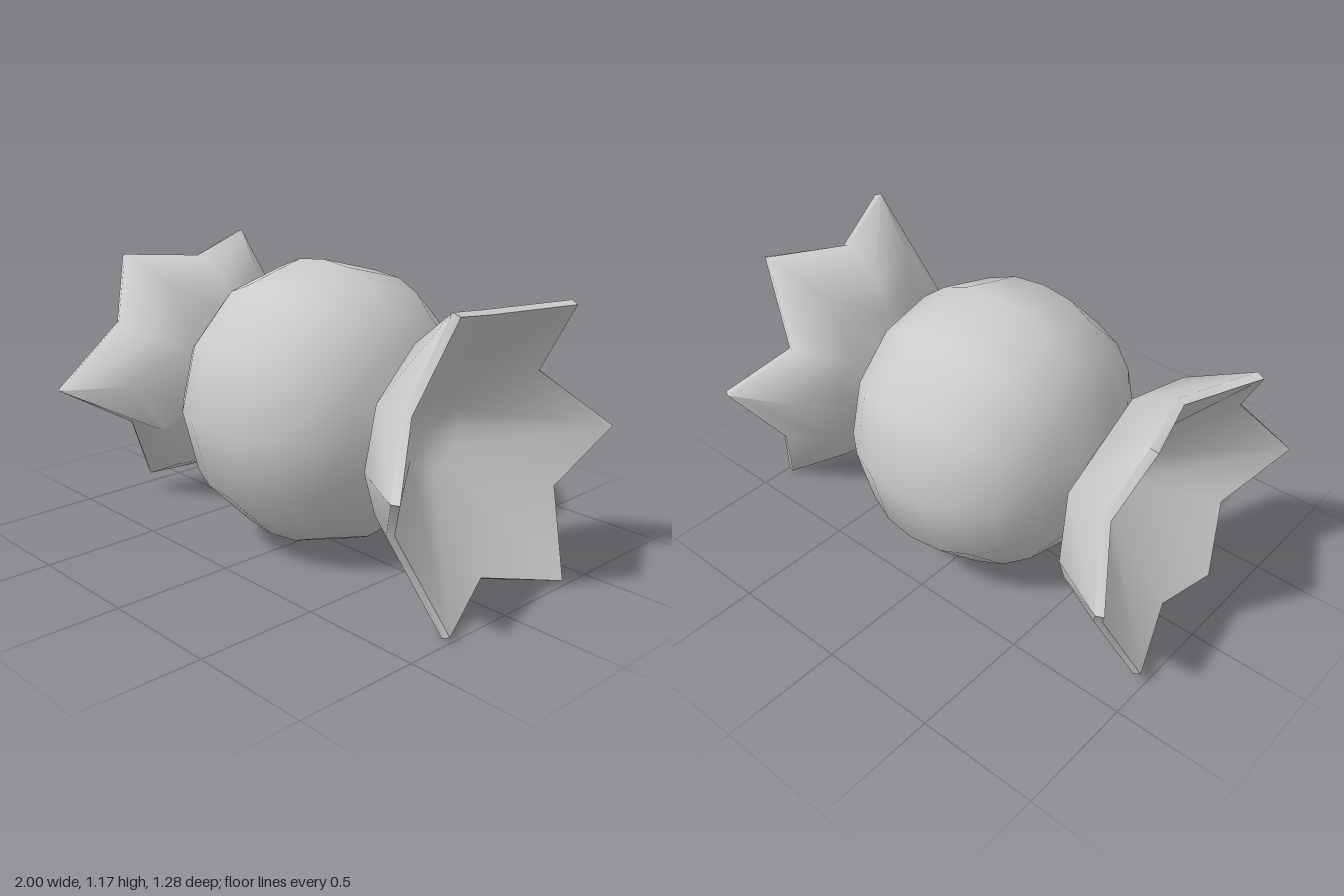
import * as THREE from 'three';
import { toCreasedNormals } from 'three/addons/utils/BufferGeometryUtils.js';

const CY = 0.59, CZ = -0.033, SIDES = 12;
const material = new THREE.MeshStandardMaterial({ color: 0xcccccc });

function addMesh(group, name, geometry, crease) {
  const mesh = new THREE.Mesh(toCreasedNormals(geometry, crease), material);
  mesh.name = name;
  group.add(mesh);
}

// Round sweet with tapered ends and a thin twisted neck on each side
function bodyGeometry() {
  const half = [[0.586, 0], [0.572, 0.14], [0.523, 0.265], [0.44, 0.375], [0.305, 0.463], [0.105, 0.515], [0.105, 0.55]]
    .map(([r, x]) => new THREE.Vector2(r, x));
  const mirrored = half.slice(1).reverse().map(p => new THREE.Vector2(p.x, -p.y));
  return new THREE.LatheGeometry([...mirrored, ...half], SIDES)
    .rotateZ(-Math.PI / 2)
    .translate(0, CY, CZ);
}

// Flared wrapper end: domed outside, funnel-shaped inside, with a zigzag rim.
// Rim points are [|x|, y, z], alternating valley and tip, from the top towards +z.
function flareGeometry(rim, side) {
  // Ring given as [x, radius] at the valleys and at the tips
  const ring = (valley, tip = valley) => rim.map((_, k) => {
    const a = k * Math.PI * 2 / SIDES;
    const [x, r] = k % 2 ? tip : valley;
    return [x, CY + r * Math.cos(a), CZ + r * Math.sin(a)];
  });
  const innerRim = rim.map(([x, y, z]) => {
    const s = 1 - 0.014 / Math.hypot(y - CY, z - CZ);
    return [x + 0.03, CY + (y - CY) * s, CZ + (z - CZ) * s];
  });
  const rings = [
    ring([0.532, 0.105]),                   // neck
    ring([0.59, 0.262], [0.615, 0.3]),      // outer cone
    ring([0.65, 0.415], [0.71, 0.475]),     // outer shoulder
    rim,
    innerRim,
    ring([0.6, 0.14]),                      // foot of the funnel
    ring([0.55, 0]),
  ];
  const index = [];
  const tri = (a, b, c) => index.push(a, ...(side > 0 ? [b, c] : [c, b]));
  for (let i = 0; i < rings.length - 1; i++) {
    for (let k = 0; k < SIDES; k++) {
      const n = (k + 1) % SIDES;
      const a = i * SIDES + k, b = i * SIDES + n;
      // Split each quad towards the rim tip, so the bowl stays round
      if (i === rings.length - 2) tri(a, b, a + SIDES);
      else if ((k % 2 === 0) === (i < 3)) {
        tri(a, b, b + SIDES);
        tri(a, b + SIDES, a + SIDES);
      } else {
        tri(a, b, a + SIDES);
        tri(b, b + SIDES, a + SIDES);
      }
    }
  }
  const points = rings.flat().map(([x, y, z]) => new THREE.Vector3(x * side, y, z));
  const geometry = new THREE.BufferGeometry().setFromPoints(points);
  geometry.setIndex(index);
  geometry.computeVertexNormals();
  return geometry;
}

export function createModel() {
  const group = new THREE.Group();
  group.name = 'wrappedCandy';
  addMesh(group, 'candyBody', bodyGeometry(), 0.8);

  const leftRim = [
    [0.82, 1.105, -0.03], [0.965, 1.17, 0.31], [0.82, 0.81, 0.375], [0.97, 0.59, 0.585],
    [0.75, 0.345, 0.37], [0.965, 0.01, 0.305], [0.83, 0.08, -0.03], [0.965, 0.01, -0.365],
    [0.83, 0.34, -0.47], [0.965, 0.59, -0.64], [0.75, 0.81, -0.44], [0.97, 1.12, -0.335],
  ];
  const rightRim = [
    [0.83, 1.09, -0.03], [0.97, 1.11, 0.265], [0.83, 0.85, 0.405], [0.96, 0.555, 0.64],
    [0.835, 0.385, 0.36], [0.888, 0.095, 0.235], [0.84, 0.10, -0.03], [0.965, 0.065, -0.36],
    [0.84, 0.34, -0.46], [0.965, 0.60, -0.64], [0.85, 0.85, -0.47], [0.96, 1.155, -0.39],
  ];
  addMesh(group, 'leftWrapperFlare', flareGeometry(leftRim, 1), 1.15);
  addMesh(group, 'rightWrapperFlare', flareGeometry(rightRim, -1), 1.15);
  return group;
}
